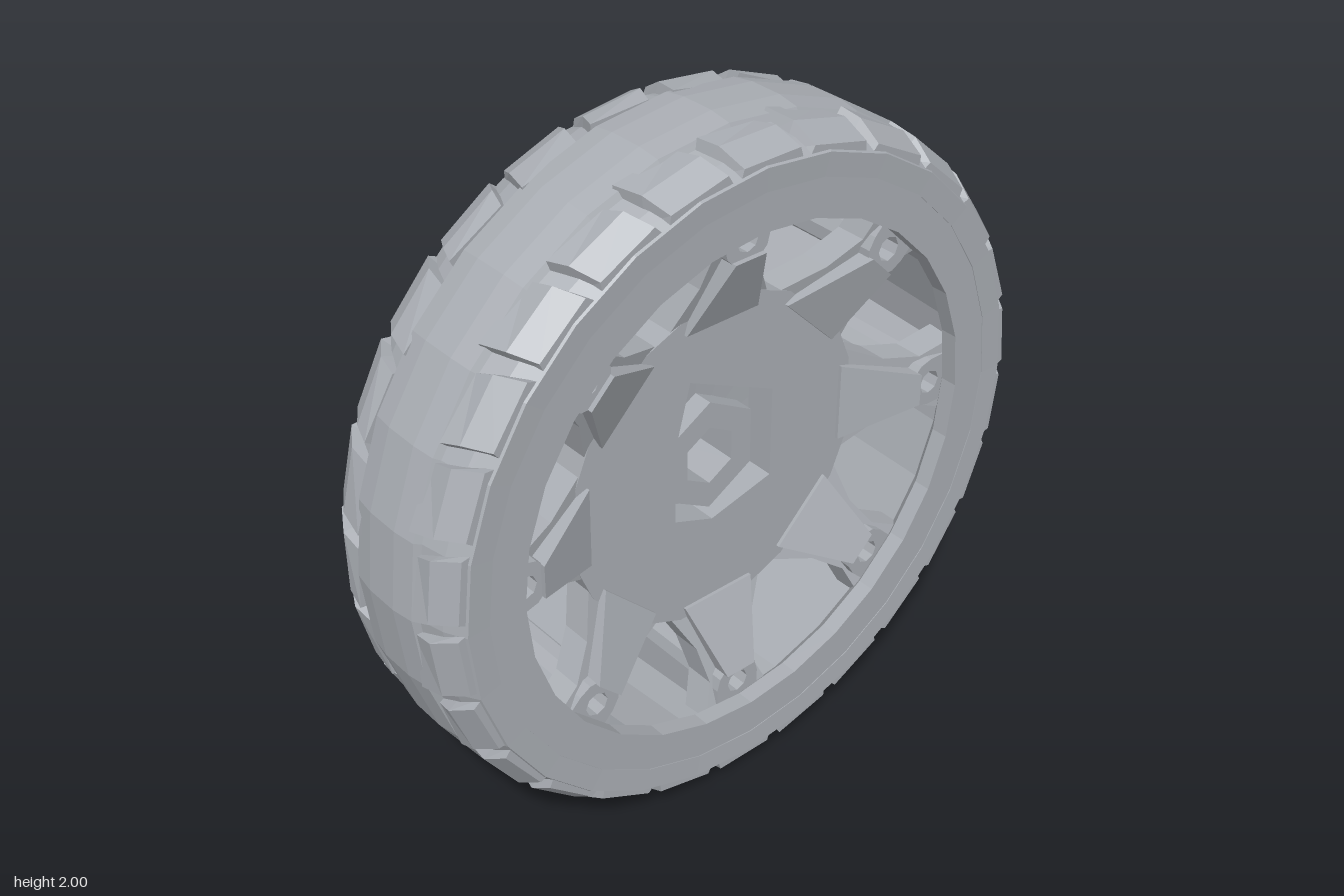
import * as THREE from 'three';

const grey = new THREE.MeshStandardMaterial({ color: 0xa9adb3, flatShading: true });
grey.name = 'wheelGrey';

const V = (x, y) => new THREE.Vector2(x, y);
const polar = (r, a) => V(r * Math.cos(a), r * Math.sin(a));
const ring = (r, n, start = 0) =>
  Array.from({ length: n }, (_, i) => polar(r, start + (i / n) * Math.PI * 2));

function add(parent, name, geometry) {
  const mesh = new THREE.Mesh(geometry, grey);
  mesh.name = name;
  parent.add(mesh);
  return mesh;
}

// Closed [radius, z] profile spun round the axle; outer side runs towards +z
function spin(profile, sides) {
  const pts = [...profile, profile[0]].map(([r, z]) => V(r, z));
  return new THREE.LatheGeometry(pts, sides).rotateX(Math.PI / 2);
}

// Flat outline with optional holes, extruded from z0 to z1
function plate(points, holes, z0, z1) {
  const shape = new THREE.Shape(points);
  holes.forEach((h) => shape.holes.push(new THREE.Path(h)));
  return new THREE.ExtrudeGeometry(shape, { depth: z1 - z0, bevelEnabled: false })
    .translate(0, 0, z0);
}

// Six-sided block running radially along +y between two rectangular ends [radius, halfWidth, zBack, zFront]
function taper(inner, outer) {
  const g = new THREE.BoxGeometry(2, 1, 1);
  const p = g.attributes.position;
  for (let i = 0; i < p.count; i++) {
    const [r, w, zb, zf] = p.getY(i) < 0 ? inner : outer;
    p.setXYZ(i, Math.sign(p.getX(i)) * w, r, p.getZ(i) < 0 ? zb : zf);
  }
  return g;
}

// Wedge-shaped tread block on one shoulder; side is +1 front, -1 back
function lugGeometry(side, long) {
  const g = new THREE.BoxGeometry(1, 1, 1, 1, 1, 2);
  const p = g.attributes.position;
  // [z, crest radius, skew] from the tyre's middle out to its shoulder
  const rows = [[long ? 0.18 : 0.205, 0.99, -0.02], [0.26, 0.982, 0], [0.328, 0.942, 0.02]];
  for (let i = 0; i < p.count; i++) {
    const row = Math.round(p.getZ(i) * 2 * side) + 1;
    const [z, crest, skew] = rows[row];
    const sx = Math.sign(p.getX(i));
    const top = p.getY(i) > 0;
    // one inner corner sinks into the tyre, giving a wedge
    const r = top ? crest - (sx > 0 && row === 0 ? 0.012 : 0) : 0.91;
    p.setXYZ(i, sx * (top ? 0.09 : 0.1) + skew, r, 0.08 + side * (z - 0.08));
  }
  return g;
}

export function createModel() {
  const model = new THREE.Group();
  model.name = 'wheel';
  const wheel = new THREE.Group();
  wheel.name = 'wheelAssembly';
  wheel.position.y = 1;
  model.add(wheel);

  // Tyre carcass with a smooth central band and lower shoulders
  add(wheel, 'tyre', spin([
    [0.86, -0.165], [0.925, -0.172], [0.955, -0.11], [0.972, -0.045], [0.99, -0.035],
    [1, 0.03], [1, 0.13], [0.99, 0.195], [0.972, 0.205], [0.955, 0.275], [0.925, 0.335], [0.86, 0.332],
  ], 28));

  // Tread blocks on both shoulders
  const lugs = new THREE.Group();
  lugs.name = 'treadBlocks';
  wheel.add(lugs);
  const count = 26;
  for (const side of [1, -1]) {
    const kinds = [lugGeometry(side, false), lugGeometry(side, true)];
    for (let i = 0; i < count; i++) {
      const lug = add(lugs, side > 0 ? 'frontTreadBlock' : 'backTreadBlock', kinds[i % 2]);
      lug.rotation.z = ((i + (side > 0 ? 0 : 0.5)) / count) * Math.PI * 2;
    }
  }

  // Rim barrel: broad flange in front, thin lip at the back
  add(wheel, 'rim', spin([
    [0.83, -0.163], [0.86, -0.163], [0.86, 0.33], [0.752, 0.33], [0.752, 0.28], [0.8, 0.24],
  ], 28));

  // Shallow hub dish with a stout neck running back to the collar
  add(wheel, 'hubDish', spin([
    [0.15, -0.17], [0.23, -0.17], [0.27, -0.06], [0.35, 0], [0.47, 0.06],
    [0.49, 0.1], [0.15, 0.08],
  ], 16));

  // Face plate with an uneven pocket round the axle
  const pocket = [V(-0.1, 0.29), V(-0.15, 0.1), V(-0.15, -0.13), V(-0.02, -0.18), V(0.19, -0.13), V(0.19, 0.15)];
  add(wheel, 'hubFace', plate(ring(0.5, 16, Math.PI / 16), [pocket], 0.08, 0.175));

  // Axle socket with a hexagonal bore, its back end inside the collar
  const bore = ring(0.09, 6, Math.PI / 6);
  add(wheel, 'axleSocket', plate(ring(0.17, 6, Math.PI / 6), [bore], -0.17, 0.14));
  add(wheel, 'axleSocketEnd', plate(ring(0.125, 6, Math.PI / 6), [bore], -0.31, -0.17));

  // Split hollow drive collar on the back, two mirrored halves
  const half = [];
  for (let i = 0; i <= 8; i++) half.push(polar(0.228, (i / 8) * Math.PI));
  for (let i = 6; i >= 0; i--) half.push(polar(0.155, (i / 6) * Math.PI));
  for (const turn of [0, Math.PI]) {
    const collar = add(wheel, 'driveCollarHalf', plate(half, [], -0.34, -0.17).translate(0, 0.013, 0));
    collar.rotation.z = turn;
  }

  // Spoke parts shared by all eight spokes
  const hole = ring(0.036, 8).map((p) => V(p.x, p.y + 0.71));
  const flange = plate([
    V(0.18, 0.43), V(0.1, 0.58), V(0.08, 0.69), V(0.12, 0.79),
    V(-0.12, 0.79), V(-0.08, 0.69), V(-0.1, 0.58), V(-0.18, 0.43),
  ], [hole], 0.07, 0.16);
  const fp = flange.attributes.position;
  for (let i = 0; i < fp.count; i++) fp.setZ(i, fp.getZ(i) + (fp.getY(i) - 0.43) * 0.32);
  const bossOutline = [V(0.075, 0.84), V(-0.075, 0.84)];
  for (let i = 0; i <= 6; i++) {
    const p = polar(0.075, Math.PI + (i / 6) * Math.PI);
    bossOutline.push(V(p.x, p.y + 0.71));
  }
  const boss = plate(bossOutline, [hole], -0.15, 0.27);
  const ridge = taper([0.44, 0.12, 0.1, 0.185], [0.66, 0.05, 0.15, 0.285]);
  const web = taper([0.34, 0.05, -0.02, 0.12], [0.65, 0.03, -0.1, 0.2]);

  for (let i = 0; i < 8; i++) {
    const spoke = new THREE.Group();
    spoke.name = 'spoke';
    spoke.rotation.z = (i / 8) * Math.PI * 2;
    add(spoke, 'spokeFlange', flange);
    add(spoke, 'spokeBoss', boss);
    add(spoke, 'spokeRidge', ridge);
    add(spoke, 'spokeWeb', web);
    wheel.add(spoke);
  }
  return model;
}
